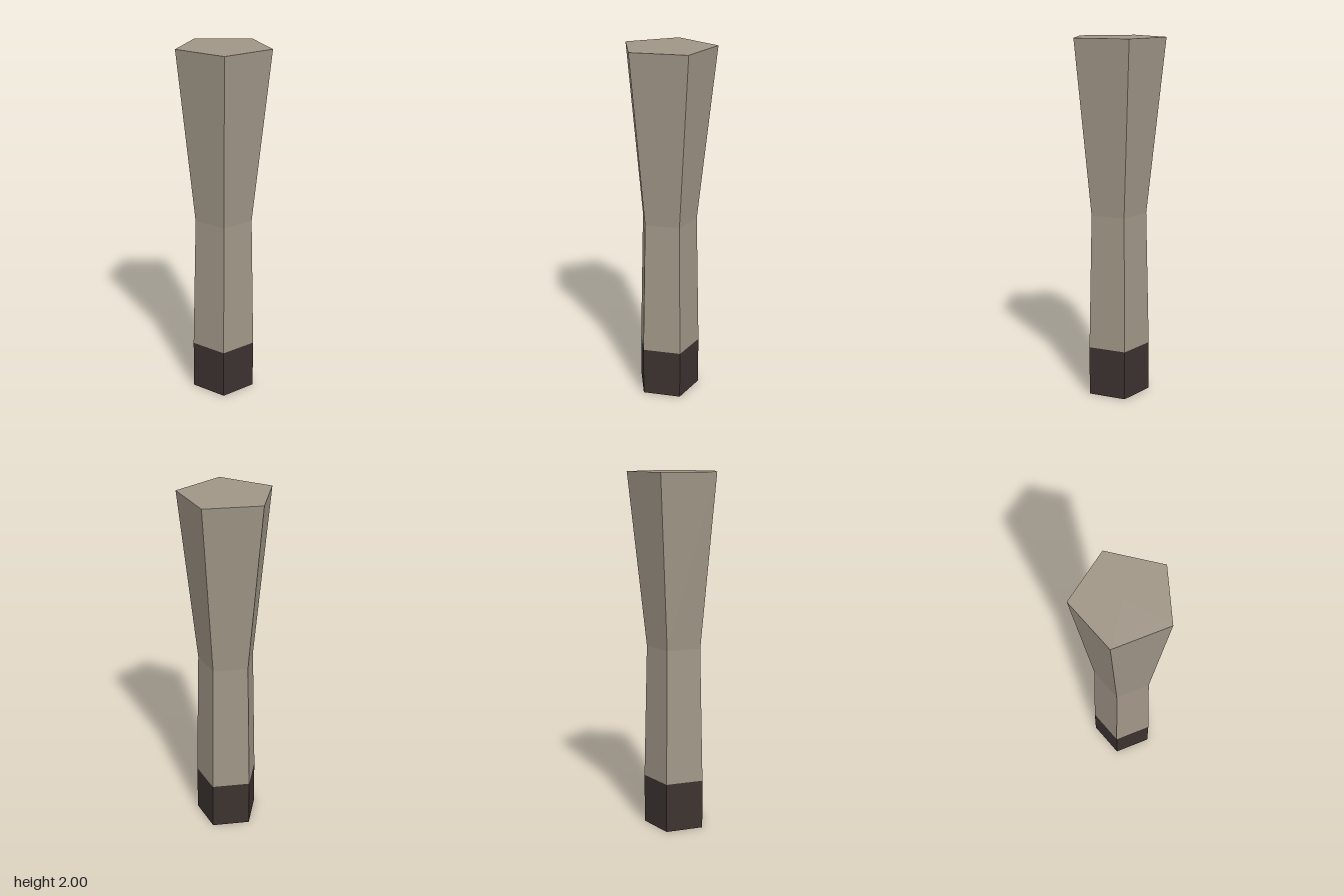
import * as THREE from 'three';

const SIDES = 5;

// Open five-sided tapered section with one corner pointing to -x
function section(name, rTop, rBottom, y0, y1, material) {
  const geometry = new THREE.CylinderGeometry(rTop, rBottom, y1 - y0, SIDES, 1, true, -Math.PI / 2);
  const mesh = new THREE.Mesh(geometry, material);
  mesh.name = name;
  mesh.position.y = (y0 + y1) / 2;
  return mesh;
}

export function createModel() {
  const model = new THREE.Group();
  model.name = 'flaredPost';

  const make = (color) =>
    new THREE.MeshStandardMaterial({ color, flatShading: true, side: THREE.DoubleSide });
  const pale = make(0xa09687);
  const dark = make(0x3b322f);

  const post = new THREE.Group();
  post.name = 'post';
  post.position.x = 0.025; // centres the pentagon's extents on x = 0
  model.add(post);

  // Dark foot, open underneath
  post.add(section('foot', 0.182, 0.182, 0, 0.28, dark));
  // Lower shaft narrows to the waist, upper shaft flares out
  post.add(section('lowerShaft', 0.163, 0.182, 0.28, 1.04, pale));
  post.add(section('upperShaft', 0.265, 0.163, 1.04, 2, pale));

  // Flat top
  const cap = new THREE.Mesh(new THREE.CircleGeometry(0.265, SIDES, Math.PI), pale);
  cap.name = 'topCap';
  cap.rotation.x = -Math.PI / 2;
  cap.position.y = 2;
  post.add(cap);

  return model;
}
